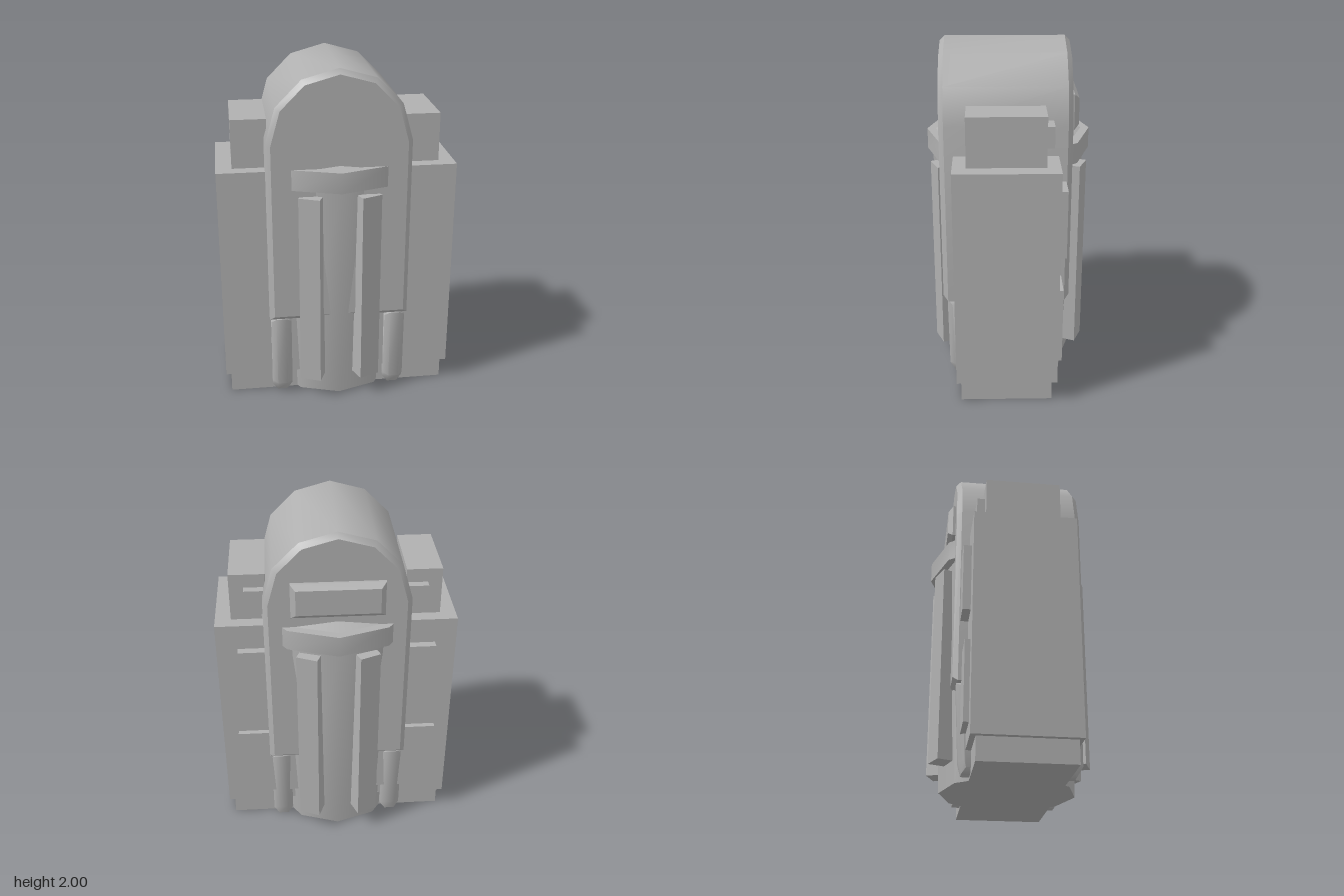
import * as THREE from 'three';
import { toCreasedNormals } from 'three/addons/utils/BufferGeometryUtils.js';

export function createModel() {
  const model = new THREE.Group();
  model.name = 'pack';
  const casing = new THREE.MeshStandardMaterial({ color: 0xb0b0b0 });
  casing.name = 'casingGrey';

  function add(name, geometry) {
    const mesh = new THREE.Mesh(geometry, casing);
    mesh.name = name;
    model.add(mesh);
    return mesh;
  }

  // Box given by its extents on each axis
  function block(name, x0, x1, y0, y1, z0, z1) {
    const mesh = add(name, new THREE.BoxGeometry(Math.abs(x1 - x0), y1 - y0, z1 - z0));
    mesh.position.set((x0 + x1) / 2, (y0 + y1) / 2, (z0 + z1) / 2);
    return mesh;
  }

  // Extruded outline with a single chamfer, centred on its depth
  function chamfered(points, depth, bevel, crease) {
    const shape = new THREE.Shape(points.map(([x, y]) => new THREE.Vector2(x, y)));
    const geometry = new THREE.ExtrudeGeometry(shape, {
      depth: depth - 2 * bevel, bevelEnabled: true, bevelSegments: 1,
      bevelSize: bevel, bevelThickness: bevel,
    });
    geometry.translate(0, 0, -(depth - 2 * bevel) / 2);
    return toCreasedNormals(geometry, crease);
  }

  // Ten-sided smooth drum
  function drum(name, rTop, rBottom, y0, y1) {
    const geometry = new THREE.CylinderGeometry(rTop, rBottom, y1 - y0, 10);
    add(name, toCreasedNormals(geometry, 0.66)).position.y = (y0 + y1) / 2;
  }

  // Arched shell
  const arch = [[0, 1.97], [-0.19, 1.917], [-0.325, 1.78], [-0.38, 1.585], [-0.38, 0.545],
    [0.38, 0.545], [0.38, 1.585], [0.325, 1.78], [0.19, 1.917]];
  add('archedShell', chamfered(arch, 0.735, 0.028, 0.66)).position.z = 0.02;

  // Central column, collar and its sloping top
  drum('column', 0.432, 0.385, 0, 1.33);
  drum('collar', 0.475, 0.475, 1.33, 1.45);
  drum('collarTop', 0.08, 0.425, 1.45, 1.57);

  // Main body and plinth
  block('plinth', -0.65, 0.65, 0, 0.13, -0.24, 0.285);
  block('body', -0.68, 0.68, 0.13, 1.42, -0.27, 0.31);

  // Paired details on both sides
  const foot = [[0.335, 0.485], [0.33, 0.08], [0.305, 0.04], [-0.265, 0.04], [-0.275, 0.08], [-0.295, 0.485]];
  for (const s of [1, -1]) {
    block('shoulderBox', s * 0.39, s * 0.59, 1.42, 1.7, -0.195, 0.235);
    block('shoulderLatch', s * 0.4, s * 0.51, 1.5, 1.62, -0.24, -0.19);
    block('upperBackPanel', s * 0.27, s * 0.56, 0.87, 1.27, -0.315, -0.26);
    block('lowerBackPanel', s * 0.24, s * 0.59, 0.22, 0.68, -0.3, -0.26);
    const skid = add('skid', chamfered(foot, 0.12, 0.03, 0.9));
    skid.rotation.y = -Math.PI / 2;
    skid.position.x = s * 0.34;
  }

  // Upright ribs around the column, front and back
  for (const face of [0, Math.PI]) {
    for (const s of [1, -1]) {
      const angle = face + s * Math.PI / 8;
      const rib = add('columnRib', new THREE.BoxGeometry(0.124, 1.16, 0.12));
      rib.position.set(Math.sin(angle) * 0.405, 0.71, Math.cos(angle) * 0.405);
      rib.rotation.y = angle;
    }
  }

  // Raised plate on the back
  const plate = [[-0.23, 1.545], [0.23, 1.545], [0.23, 1.695], [-0.23, 1.695]];
  add('backPlate', chamfered(plate, 0.08, 0.028, 0.66)).position.z = -0.352;

  return model;
}
